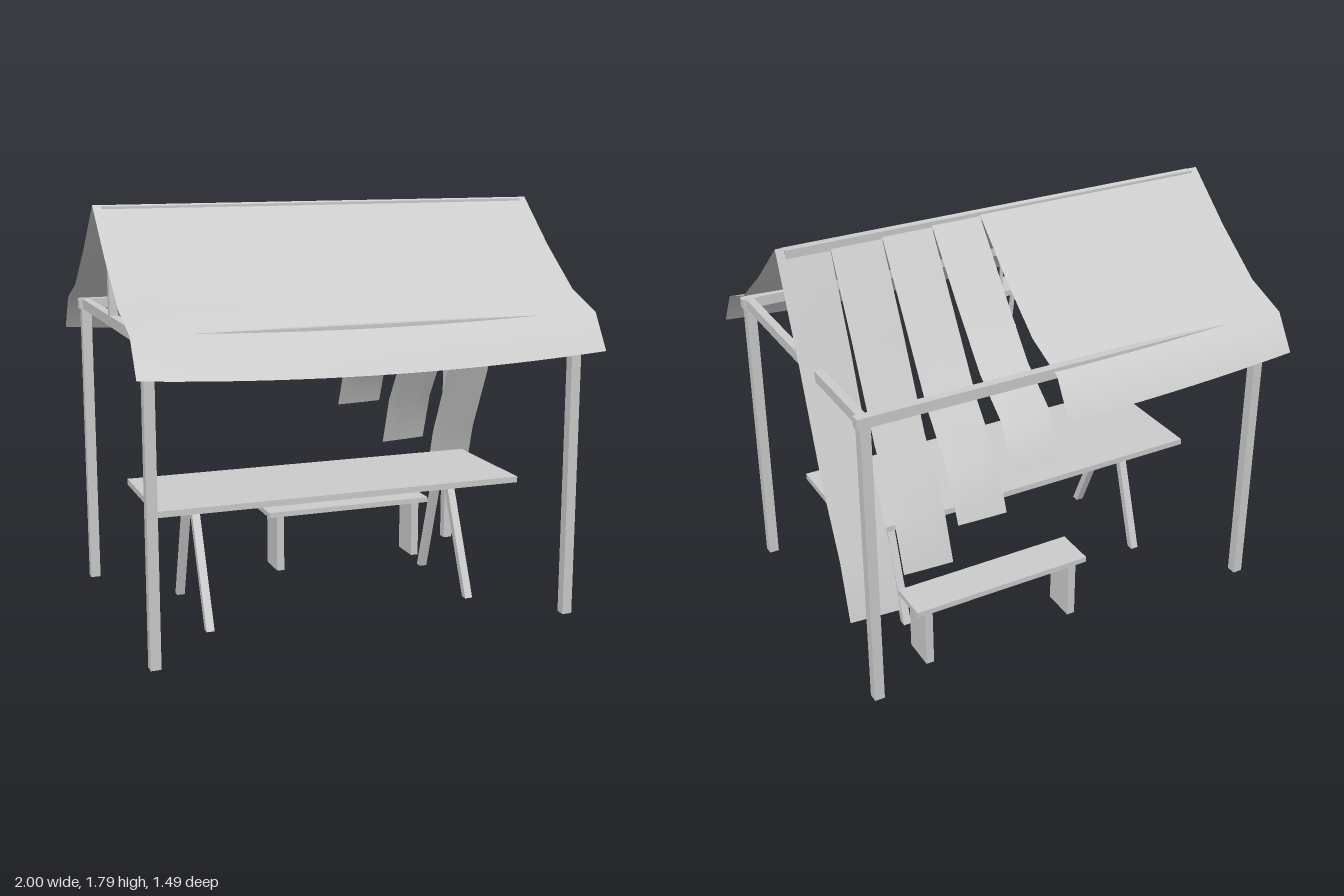
import * as THREE from 'three';

const grey = new THREE.MeshStandardMaterial({ color: 0xcccccc });
grey.name = 'pale grey';
const cloth = new THREE.MeshStandardMaterial({ color: 0xcccccc, side: THREE.DoubleSide });
cloth.name = 'pale grey cloth';

// Box given by its limits on each axis
function box(name, [x0, x1], [y0, y1], [z0, z1]) {
  const mesh = new THREE.Mesh(new THREE.BoxGeometry(x1 - x0, y1 - y0, z1 - z0), grey);
  mesh.position.set((x0 + x1) / 2, (y0 + y1) / 2, (z0 + z1) / 2);
  mesh.name = name;
  return mesh;
}

// Leaning bar with level ends: a box sheared from a foot point to a head point
function leaningBar(name, foot, head, width) {
  const geo = new THREE.BoxGeometry(width, 1, width);
  const p = geo.attributes.position;
  for (let i = 0; i < p.count; i++) {
    const t = p.getY(i) + 0.5;
    p.setXYZ(i,
      p.getX(i) + THREE.MathUtils.lerp(foot[0], head[0], t),
      THREE.MathUtils.lerp(foot[1], head[1], t),
      p.getZ(i) + THREE.MathUtils.lerp(foot[2], head[2], t));
  }
  geo.computeVertexNormals();
  const mesh = new THREE.Mesh(geo, grey);
  mesh.name = name;
  return mesh;
}

// Canopy profile from ridge to hem: distance out, height, sag, and drop per torn strip
const profile = [
  { z: 0, y: 1.793, sag: 0, dz: 0, dy: 0 },
  { z: 0.225, y: 1.593, sag: 0.012, dz: 0.014, dy: 0.056 },
  { z: 0.455, y: 1.418, sag: 0.024, dz: 0.0325, dy: 0.124 },
  { z: 0.65, y: 1.341, sag: 0.03, dz: 0.045, dy: 0.182 },
  { z: 0.745, y: 1.188, sag: 0.038, dz: 0.051, dy: 0.207 },
];

// Cloth panel between x0 and x1; side is +1 front, -1 back; slump lowers it
function clothPanel(name, x0, x1, side, slump = 0) {
  const cols = Math.max(2, Math.round((x1 - x0) * 12));
  const geo = new THREE.PlaneGeometry(1, 1, cols, profile.length - 1);
  const p = geo.attributes.position;
  for (let i = 0; i < p.count; i++) {
    const row = profile[Math.floor(i / (cols + 1))];
    const u = (i % (cols + 1)) / cols;
    const x = side > 0 ? x0 + (x1 - x0) * u : x1 - (x1 - x0) * u;
    p.setXYZ(i, x, row.y - row.sag * (1 - x * x) - slump * row.dy,
      side * (row.z - slump * row.dz));
  }
  geo.computeVertexNormals();
  const mesh = new THREE.Mesh(geo, cloth);
  mesh.name = name;
  return mesh;
}

function makeFrame() {
  const g = new THREE.Group();
  g.name = 'frame';
  for (const sx of [-1, 1]) {
    const x = sx * 0.927;
    for (const z of [-0.61, 0.61]) {
      g.add(box('cornerPost', [x - 0.022, x + 0.022], [0, 1.333], [z - 0.022, z + 0.022]));
    }
    g.add(box('crossBeam', [x - 0.018, x + 0.018], [1.29, 1.335], [-0.63, 0.63]));
    g.add(box('kingPost', [x - 0.017, x + 0.017], [1.33, 1.755], [-0.017, 0.017]));
  }
  for (const z of [-0.611, 0.611]) {
    g.add(box('eaveBeam', [-0.96, 0.96], [1.29, 1.336], [z - 0.019, z + 0.019]));
  }
  g.add(box('ridgePole', [-0.965, 0.965], [1.75, 1.787], [-0.018, 0.018]));
  return g;
}

function makeCanopy() {
  const g = new THREE.Group();
  g.name = 'canopy';
  g.add(clothPanel('frontCloth', -1, 1, 1));
  g.add(clothPanel('backCloth', -1, 0.11, -1));
  // Torn strips sag further toward the end
  const w = 0.89 / 4;
  for (let k = 1; k <= 4; k++) {
    g.add(clothPanel('tornStrip', 0.11 + w * (k - 1), 0.11 + w * k, -1, k));
  }
  return g;
}

function makeTable() {
  const g = new THREE.Group();
  g.name = 'table';
  g.add(box('tableTop', [-0.832, 0.832], [0.53, 0.557], [-0.253, 0.318]));
  for (const x of [-0.61, 0.61]) {
    g.add(leaningBar('trestleLeg', [x, 0, 0.283], [x, 0.531, 0.047], 0.035));
    g.add(leaningBar('trestleLeg', [x, 0, -0.218], [x, 0.531, -0.047], 0.035));
  }
  return g;
}

function makeBench() {
  const g = new THREE.Group();
  g.name = 'bench';
  g.add(box('benchSeat', [-0.13, 0.7], [0.273, 0.298], [-0.54, -0.355]));
  for (const x of [-0.068, 0.64]) {
    g.add(box('benchLeg', [x - 0.018, x + 0.018], [0, 0.274], [-0.523, -0.372]));
  }
  return g;
}

function makeLantern() {
  const g = new THREE.Group();
  g.name = 'lantern';
  g.add(box('hangerRod', [-0.006, 0.006], [1.43, 1.755], [-0.006, 0.006]));
  g.add(box('lanternCap', [-0.07, 0.07], [1.408, 1.432], [-0.07, 0.07]));
  g.add(box('lanternBase', [-0.047, 0.047], [1.235, 1.252], [-0.047, 0.047]));
  for (const sx of [-1, 1]) {
    for (const sz of [-1, 1]) {
      g.add(leaningBar('lanternStrut', [sx * 0.026, 1.25, sz * 0.026],
        [sx * 0.037, 1.41, sz * 0.037], 0.015));
    }
  }
  return g;
}

export function createModel() {
  const model = new THREE.Group();
  model.name = 'marketStall';
  model.add(makeFrame(), makeCanopy(), makeTable(), makeBench(), makeLantern());
  return model;
}
